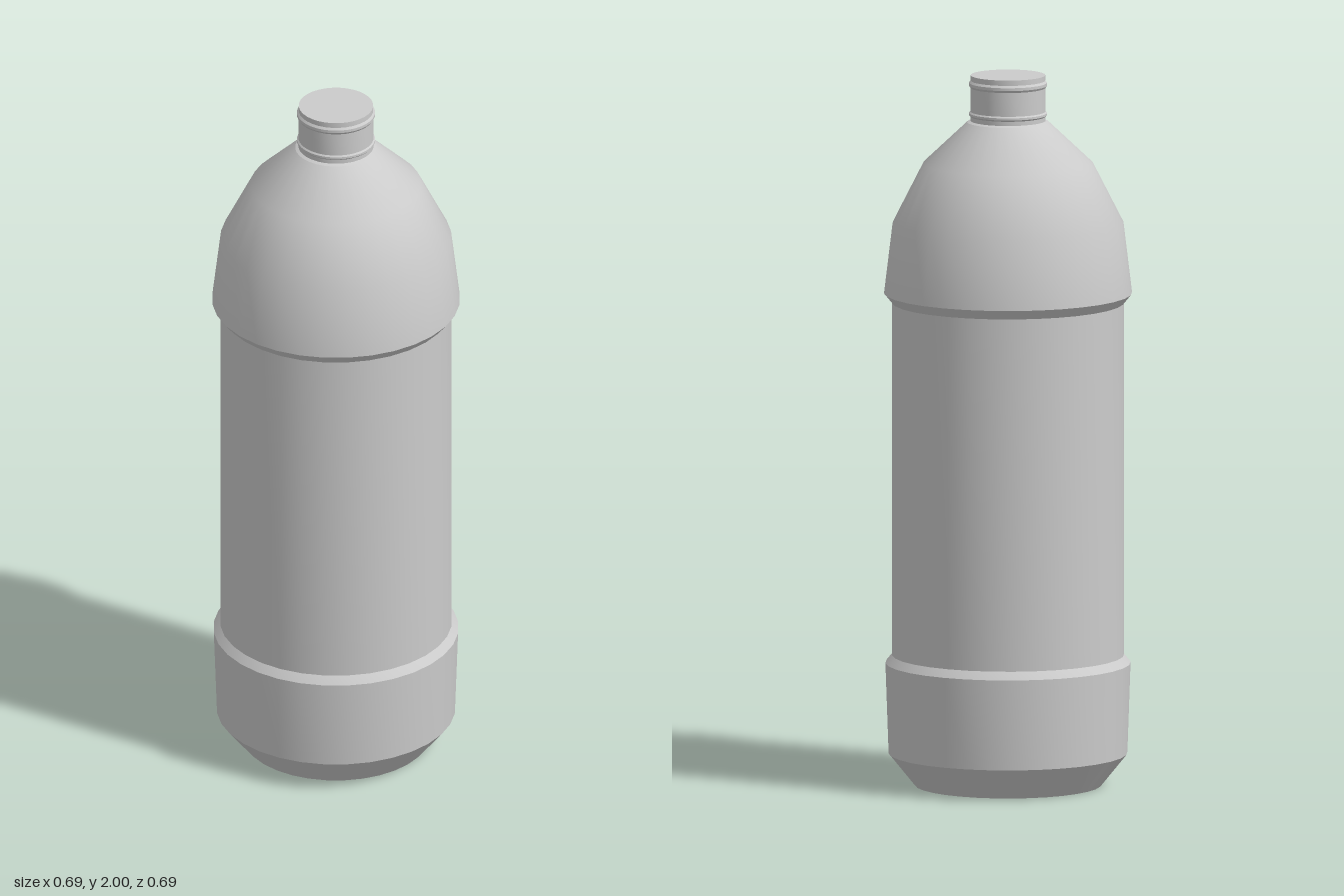
import * as THREE from 'three';
import { toCreasedNormals } from 'three/addons/utils/BufferGeometryUtils.js';

const SIDES = 32;

export function createModel() {
  const bottle = new THREE.Group();
  bottle.name = 'bottle';
  const material = new THREE.MeshStandardMaterial({ color: 0xcccccc, side: THREE.DoubleSide });

  // Revolves a [radius, height] profile, keeping sharp edges sharp
  const addTurned = (name, profile) => {
    const points = profile.map(([r, y]) => new THREE.Vector2(r, y));
    const geometry = toCreasedNormals(new THREE.LatheGeometry(points, SIDES), Math.PI / 6);
    const mesh = new THREE.Mesh(geometry, material);
    mesh.name = name;
    bottle.add(mesh);
  };

  // Base with a hollow underside, chamfered foot and a lip under the label
  addTurned('base', [
    [0, 0.06], [0.13, 0.045], [0.26, 0],
    [0.333, 0.09], [0.342, 0.345], [0.324, 0.367],
  ]);

  // Straight recessed label panel
  addTurned('labelPanel', [[0.324, 0.367], [0.324, 1.36]]);

  // Overhanging band and domed shoulder
  addTurned('shoulder', [
    [0.324, 1.36], [0.346, 1.387], [0.322, 1.585],
    [0.237, 1.752], [0.114, 1.868],
  ]);

  // Neck with a support ring
  addTurned('neck', [
    [0.114, 1.868], [0.105, 1.872], [0.105, 1.884], [0.109, 1.888],
    [0.109, 1.894], [0.105, 1.898], [0.105, 1.965],
  ]);

  // Closed mouth with a bead below its rim
  addTurned('mouth', [
    [0.105, 1.965], [0.109, 1.971], [0.109, 1.979], [0.104, 1.985],
    [0.104, 2], [0, 2],
  ]);

  return bottle;
}
